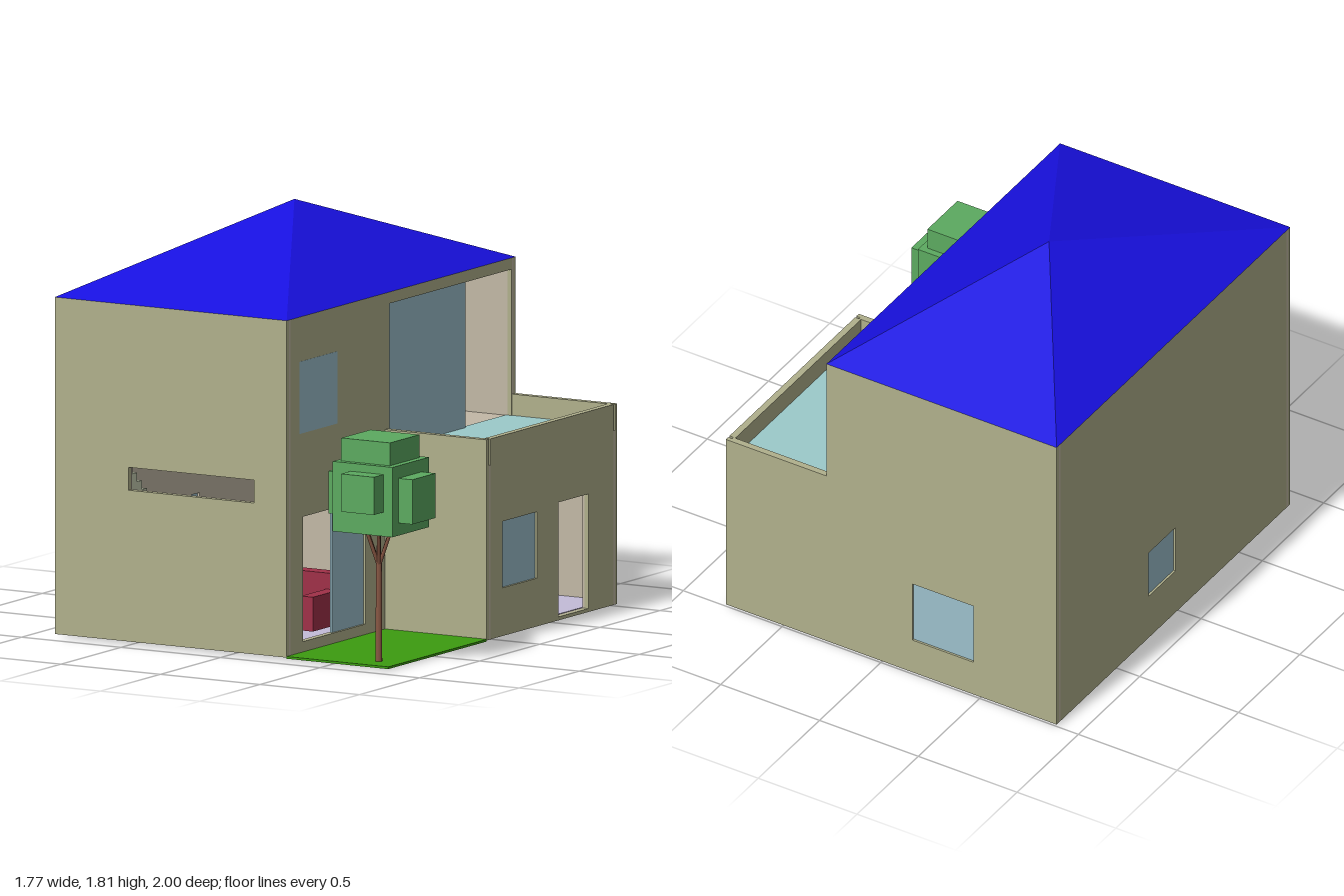
import * as THREE from 'three';

const mat = (color) => new THREE.MeshStandardMaterial({ color });
const M = {
  wall: mat(0xb0b08c), inner: mat(0xc2b8a6), roof: mat(0x1810e0), glass: mat(0x9cc0cc),
  terrace: mat(0x9ccaca), floor: mat(0xc4bcd8), grass: mat(0x3c9c10), leaf: mat(0x5caa60),
  bark: mat(0x8a5844), sofa: mat(0xa03048), stairs: mat(0xc4ccb0), table: mat(0x6a4030), blue: mat(0x7088d0),
};
const T = 0.03; // full wall thickness

// Box given by its limits on each axis
function box(parent, name, [x0, x1], [y0, y1], [z0, z1], material) {
  const m = new THREE.Mesh(new THREE.BoxGeometry(x1 - x0, y1 - y0, z1 - z0), material);
  m.position.set((x0 + x1) / 2, (y0 + y1) / 2, (z0 + z1) / 2);
  m.name = name;
  parent.add(m);
  return m;
}

// Upright slab with rectangular holes; axis is the direction it runs along, 'at' its lowest normal coordinate
function panel(parent, name, axis, at, depth, rect, holes, material) {
  const corners = ([a0, a1, y0, y1]) => [[a0, y0], [a1, y0], [a1, y1], [a0, y1]].map(([a, y]) => new THREE.Vector2(a, y));
  const shape = new THREE.Shape(corners(rect));
  for (const h of holes) shape.holes.push(new THREE.Path(corners(h).reverse()));
  const m = new THREE.Mesh(new THREE.ExtrudeGeometry(shape, { depth, bevelEnabled: false }), material);
  if (axis === 'x') m.position.z = at;
  else {
    m.rotation.y = -Math.PI / 2;
    m.position.x = at + depth;
  }
  m.name = name;
  parent.add(m);
}

// Wall with an outer skin and an inner lining; inward is +1 or -1 along its normal
function wall(parent, name, axis, outer, inward, rect, holes, liningTop = rect[3]) {
  const skin = 0.02, lining = T - skin;
  panel(parent, name, axis, inward > 0 ? outer : outer - skin, skin, rect, holes, M.wall);
  panel(parent, name + 'Lining', axis, inward > 0 ? outer + skin : outer - T, lining,
    [rect[0], rect[1], rect[2], liningTop], holes, M.inner);
}

function roofSurface(parent, name, reverse, material) {
  const apex = [-0.305, 1.81, -0.12];
  const base = [[-0.89, 1.48, 0.905], [0.275, 1.48, 0.905], [0.275, 1.48, -1], [-0.89, 1.48, -1]];
  const pts = [];
  base.forEach((p, i) => {
    const q = base[(i + 1) % 4];
    pts.push(...(reverse ? [q, p, apex] : [p, q, apex]).flat());
  });
  const g = new THREE.BufferGeometry();
  g.setAttribute('position', new THREE.Float32BufferAttribute(pts, 3));
  g.computeVertexNormals();
  const m = new THREE.Mesh(g, material);
  m.name = name;
  parent.add(m);
}

function rod(parent, name, a, b, r0, r1) {
  const p = new THREE.Vector3(...a), d = new THREE.Vector3(...b).sub(p);
  const m = new THREE.Mesh(new THREE.CylinderGeometry(r1, r0, d.length(), 8), M.bark);
  m.position.copy(p).addScaledVector(d, 0.5);
  m.quaternion.setFromUnitVectors(new THREE.Vector3(0, 1, 0), d.normalize());
  m.name = name;
  parent.add(m);
}

function makeTree() {
  const tree = new THREE.Group();
  tree.name = 'tree';
  const x = 0.675, z = 0.8;
  rod(tree, 'trunk', [x, 0, z], [x, 0.46, z], 0.015, 0.013);
  for (let i = 0; i < 6; i++) {
    const a = (i / 6) * Math.PI * 2;
    rod(tree, 'branch', [x, 0.43, z], [x + 0.065 * Math.cos(a), 0.6, z + 0.065 * Math.sin(a)], 0.009, 0.007);
  }
  rod(tree, 'centreBranch', [x, 0.44, z], [x, 0.6, z], 0.011, 0.008);
  // Main leaf block with a smaller block on each exposed side
  box(tree, 'crown', [0.515, 0.815], [0.585, 0.89], [0.615, 0.92], M.leaf);
  box(tree, 'crownTop', [0.54, 0.785], [0.88, 0.99], [0.645, 0.89], M.leaf);
  box(tree, 'crownFront', [0.605, 0.77], [0.69, 0.855], [0.9, 1], M.leaf);
  box(tree, 'crownBack', [0.545, 0.72], [0.63, 0.81], [0.575, 0.63], M.leaf);
  box(tree, 'crownRight', [0.46, 0.53], [0.65, 0.835], [0.675, 0.865], M.leaf);
  box(tree, 'crownLeft', [0.8, 0.885], [0.64, 0.835], [0.675, 0.87], M.leaf);
  return tree;
}

function makeInterior() {
  const g = new THREE.Group();
  g.name = 'interior';
  // Solid staircase along the right-hand wall, rising to the front
  const n = 19;
  for (let i = 0; i < n; i++) {
    const z = 0.06 + i * 0.04;
    box(g, 'stair', [-0.86, -0.6], [0.03, 0.03 + (i + 1) * 0.04], [z, z + 0.04], M.stairs);
  }
  box(g, 'cabinet', [-0.58, -0.45], [0.03, 0.36], [0.52, 0.76], M.inner);
  // Sofa
  box(g, 'sofaSeat', [-0.3, 0.12], [0.05, 0.14], [0.24, 0.48], M.sofa);
  box(g, 'sofaBack', [-0.3, 0.12], [0.05, 0.27], [0.2, 0.27], M.sofa);
  for (const x of [-0.34, 0.09]) box(g, 'sofaArm', [x, x + 0.06], [0.05, 0.2], [0.22, 0.48], M.sofa);
  // Table
  box(g, 'tableTop', [-0.2, 0.1], [0.155, 0.168], [-0.65, -0.42], M.table);
  for (const x of [-0.19, 0.07]) for (const z of [-0.64, -0.45])
    box(g, 'tableLeg', [x, x + 0.02], [0.03, 0.16], [z, z + 0.02], M.table);
  box(g, 'wallPicture', [-0.86, -0.85], [0.47, 0.6], [-0.9, -0.72], M.blue);
  return g;
}

export function createModel() {
  const model = new THREE.Group();
  const house = new THREE.Group();
  house.name = 'house';
  model.add(house);

  // Ground slab and floors
  box(house, 'groundSlab', [-0.86, 0.755], [0.01, 0.022], [-0.97, 0.055], M.inner);
  box(house, 'groundSlab', [-0.86, 0.245], [0.01, 0.022], [0.055, 0.875], M.inner);
  box(house, 'groundFloor', [-0.86, 0.755], [0.022, 0.028], [-0.97, 0.055], M.floor);
  box(house, 'groundFloor', [-0.86, 0.245], [0.022, 0.028], [0.055, 0.875], M.floor);
  box(house, 'upperFloor', [-0.6, 0.245], [0.77, 0.79], [-0.97, 0.875], M.inner);
  box(house, 'upperFloor', [-0.86, -0.6], [0.77, 0.79], [-0.97, 0.4], M.inner);
  box(house, 'terraceFloor', [0.245, 0.755], [0.772, 0.792], [-0.97, 0.055], M.terrace);

  // Main block walls
  wall(house, 'frontWall', 'x', 0.905, -1, [-0.89, 0.275, 0.01, 1.48], [[-0.52, 0.11, 0.67, 0.77]]);
  wall(house, 'backWall', 'x', -1, 1, [-0.89, 0.275, 0.01, 1.48], [[-0.47, -0.16, 0.18, 0.478]]);
  wall(house, 'rightWall', 'z', -0.89, 1, [-0.97, 0.875, 0.01, 1.48], [[-0.25, -0.03, 0.23, 0.46]]);
  wall(house, 'leftWall', 'z', 0.275, -1, [-0.97, 0.875, 0.01, 1.48], [
    [0.25, 0.77, 0.06, 0.605], [0.485, 0.8, 0.97, 1.285],
    [-0.965, 0.05, 0.79, 1.43], [-0.94, 0.03, 0.03, 0.76],
  ]);

  // Side wing walls, carried up as a parapet around the terrace
  wall(house, 'wingFrontWall', 'x', 0.085, -1, [0.275, 0.785, 0.01, 0.885], [], 0.77);
  wall(house, 'wingBackWall', 'x', -1, 1, [0.275, 0.785, 0.01, 0.885], [], 0.77);
  wall(house, 'wingSideWall', 'z', 0.785, -1, [-0.97, 0.055, 0.01, 0.885],
    [[-0.335, -0.045, 0.22, 0.51], [-0.76, -0.51, 0.025, 0.525]], 0.77);
  panel(house, 'parapet', 'x', 0.055, 0.01, [0.275, 0.765, 0.77, 0.885], [], M.wall);
  panel(house, 'parapet', 'x', -0.98, 0.01, [0.275, 0.765, 0.77, 0.885], [], M.wall);
  panel(house, 'parapet', 'z', 0.755, 0.01, [-0.97, 0.055, 0.77, 0.885], [], M.wall);

  // Panes
  box(house, 'upperWindow', [0.25, 0.276], [0.97, 1.285], [0.485, 0.8], M.glass);
  box(house, 'terraceDoor', [0.255, 0.265], [0.79, 1.43], [-0.6, 0.05], M.glass);
  box(house, 'gardenDoor', [0.255, 0.265], [0.06, 0.605], [0.25, 0.51], M.glass);
  box(house, 'wingWindow', [0.765, 0.775], [0.22, 0.51], [-0.335, -0.045], M.glass);
  box(house, 'backWindow', [-0.47, -0.16], [0.18, 0.478], [-0.99, -0.98], M.glass);
  box(house, 'rightWindow', [-0.88, -0.87], [0.23, 0.46], [-0.25, -0.03], M.glass);

  // Hollow pyramid roof
  roofSurface(house, 'roof', false, M.roof);
  roofSurface(house, 'roofUnderside', true, M.inner);

  box(model, 'lawn', [0.275, 0.785], [0.005, 0.015], [0.085, 0.905], M.grass);
  model.add(makeInterior(), makeTree());
  return model;
}
